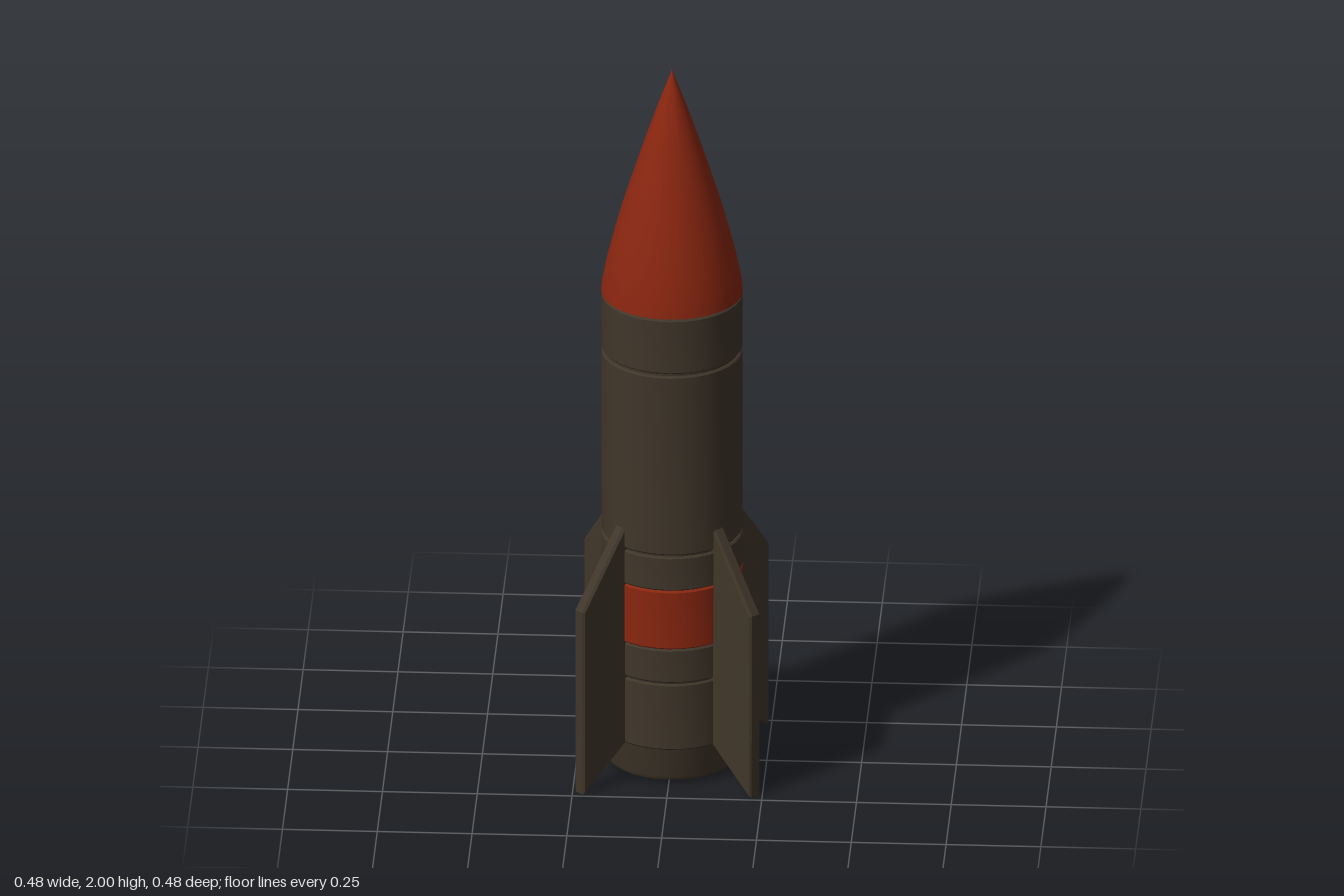
import * as THREE from 'three';
import { toCreasedNormals } from 'three/addons/utils/BufferGeometryUtils.js';

const SIDES = 32;

export function createModel() {
  const model = new THREE.Group();
  model.name = 'rocket';
  const hull = new THREE.MeshStandardMaterial({ color: 0x40362a });
  hull.name = 'dark olive';
  const red = new THREE.MeshStandardMaterial({ color: 0x8a2610 });
  red.name = 'rust red';

  const add = (name, geometry, material, parent = model) => {
    const mesh = new THREE.Mesh(geometry, material);
    mesh.name = name;
    parent.add(mesh);
    return mesh;
  };

  // Turned part from [radius, height] points, keeping sharp rims
  const turned = (name, points, material) => {
    const profile = points.map(([r, y]) => new THREE.Vector2(r, y));
    return add(name, toCreasedNormals(new THREE.LatheGeometry(profile, SIDES), 0.5), material);
  };

  // Inner core: hollow exhaust below, seen as thin grooves between the bands
  turned('core', [
    [0, 0.42], [0.152, 0.42], [0.152, 0.03], [0.158, 0.018],
    [0.172, 0.018], [0.178, 0.03], [0.178, 1.37], [0, 1.37],
  ], hull);

  // Hull bands: [name, bottom, top, radius, material]
  const bands = [
    ['tailBand', 0.108, 0.298, 0.184, hull],
    ['lowerBand', 0.303, 0.399, 0.185, hull],
    ['redBand', 0.401, 0.569, 0.186, red],
    ['middleBand', 0.571, 0.668, 0.186, hull],
    ['mainBody', 0.674, 1.192, 0.186, hull],
    ['shoulderBand', 1.2, 1.356, 0.186, hull],
  ];
  for (const [name, y0, y1, r, material] of bands) {
    const b = 0.004;
    turned(name, [[0.17, y0], [r - b, y0], [r, y0 + b], [r, y1 - b], [r - b, y1], [0.17, y1]], material);
  }

  // Pointed nose cone with gently curved sides
  turned('noseCone', [
    [0, 1.36], [0.187, 1.36], [0.184, 1.39], [0.17, 1.46], [0.15, 1.54],
    [0.128, 1.62], [0.1, 1.71], [0.071, 1.8], [0.037, 1.9], [0, 2],
  ], red);

  // Four swept fins on the diagonals
  const bevel = 0.006;
  const outline = new THREE.Shape([
    [0.165, 0.122], [0.324, 0.008], [0.324, 0.527], [0.18, 0.728], [0.165, 0.728],
  ].map(([x, y]) => new THREE.Vector2(x, y)));
  const depth = 0.025;
  const finGeometry = new THREE.ExtrudeGeometry(outline, {
    depth, bevelEnabled: true, bevelSize: bevel, bevelThickness: bevel, bevelSegments: 1,
  });
  finGeometry.translate(0, 0, -depth / 2);
  const fins = new THREE.Group();
  fins.name = 'fins';
  model.add(fins);
  for (let i = 0; i < 4; i++) {
    add('fin', finGeometry, hull, fins).rotation.y = Math.PI / 4 + (i * Math.PI) / 2;
  }

  return model;
}
